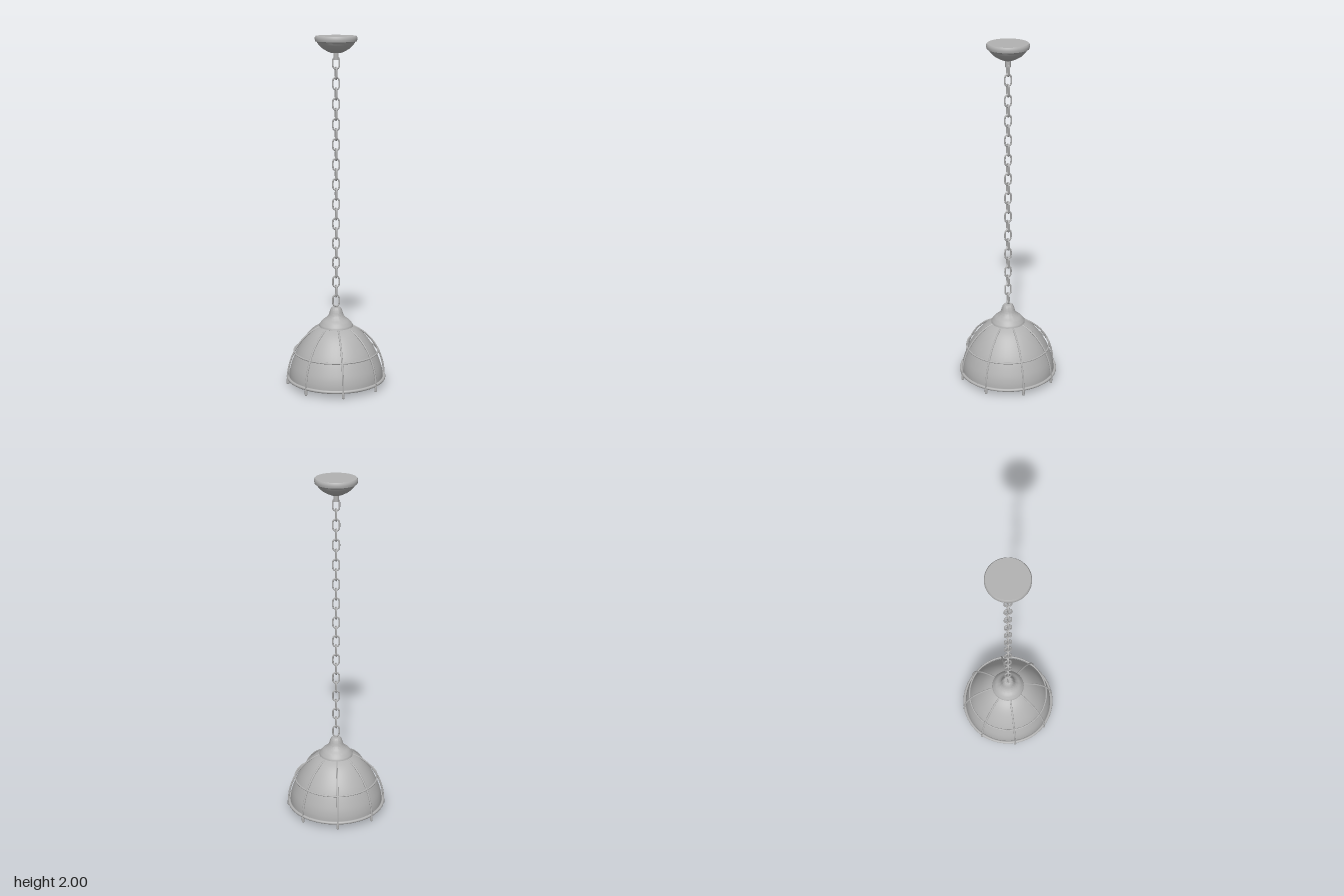
import * as THREE from 'three';
import { toCreasedNormals } from 'three/addons/utils/BufferGeometryUtils.js';

const metal = new THREE.MeshStandardMaterial({ color: 0xb2b2b2, side: THREE.DoubleSide });
metal.name = 'grey metal';

function add(parent, name, geometry) {
  const mesh = new THREE.Mesh(geometry, metal);
  mesh.name = name;
  parent.add(mesh);
  return mesh;
}

// Turned part from [radius, height] pairs, listed from bottom to top
function turned(pairs, crease = 0.7) {
  const points = pairs.map(([r, y]) => new THREE.Vector2(r, y));
  return toCreasedNormals(new THREE.LatheGeometry(points, 48), crease);
}

// Smooth profile through the given pairs
function smooth(pairs, count) {
  return new THREE.SplineCurve(pairs.map(([r, y]) => new THREE.Vector2(r, y)))
    .getPoints(count).map((p) => [p.x, p.y]);
}

function ring(parent, name, radius, tube, y) {
  const mesh = add(parent, name, new THREE.TorusGeometry(radius, tube, 10, 64));
  mesh.rotation.x = Math.PI / 2;
  mesh.position.y = y;
}

// Stadium-shaped chain link lying in the xy plane
function linkGeometry() {
  const points = [];
  const radius = 0.0175, straight = 0.0155;
  for (let i = 0; i < 20; i++) {
    const a = (i + 0.5) / 20 * Math.PI * 2;
    points.push(new THREE.Vector3(Math.cos(a) * radius, Math.sin(a) * radius + Math.sign(Math.sin(a)) * straight, 0));
  }
  return new THREE.TubeGeometry(new THREE.CatmullRomCurve3(points, true), 32, 0.0048, 8, true);
}

export function createModel() {
  const model = new THREE.Group();
  model.name = 'pendantLamp';

  // Ceiling mount with its stem
  add(model, 'canopy', turned([
    [0, 1.905], [0.03, 1.908],
    ...smooth([[0.04, 1.912], [0.07, 1.928], [0.092, 1.947], [0.107, 1.968]], 10),
    [0.115, 1.971], [0.117, 1.98], [0.117, 1.993], [0.112, 2], [0, 2],
  ]));
  const stem = add(model, 'canopyStem', new THREE.CylinderGeometry(0.015, 0.015, 0.04, 20));
  stem.position.y = 1.89;

  // Chain of alternating links
  const chain = new THREE.Group();
  chain.name = 'chain';
  model.add(chain);
  const link = linkGeometry();
  for (let i = 0; i < 25; i++) {
    const mesh = add(chain, 'chainLink', link);
    mesh.position.y = 1.852 - i * 0.05663;
    mesh.rotation.y = (i % 2) * Math.PI / 2;
  }

  // Bell-shaped cap over the shade
  add(model, 'shadeCap', turned([
    [0.09, 0.34], [0.098, 0.343],
    ...smooth([[0.097, 0.35], [0.08, 0.373], [0.056, 0.392], [0.043, 0.41], [0.035, 0.435], [0.029, 0.449]], 18),
    [0.022, 0.455], [0, 0.455],
  ]));

  // Open dome
  add(model, 'shade', turned([
    ...smooth([[0.272, 0.035], [0.269, 0.075], [0.256, 0.125], [0.222, 0.205], [0.175, 0.275], [0.13, 0.32], [0.08, 0.348]], 28),
    [0, 0.352],
  ]));

  // Guard cage: rings, eight ribs and their end pegs
  const cage = new THREE.Group();
  cage.name = 'guardCage';
  model.add(cage);
  ring(cage, 'lowerRing', 0.279, 0.009, 0.04);
  ring(cage, 'middleRing', 0.243, 0.005, 0.195);

  const ribPoints = [];
  for (let i = 0; i <= 10; i++) {
    const a = i / 10 * 1.28;
    ribPoints.push(new THREE.Vector3(0.284 * Math.cos(a), 0.025 + 0.333 * Math.sin(a), 0));
  }
  const rib = new THREE.TubeGeometry(new THREE.CatmullRomCurve3(ribPoints), 28, 0.0052, 8);
  const peg = new THREE.CapsuleGeometry(0.008, 0.022, 4, 12);
  for (let i = 0; i < 8; i++) {
    const spoke = new THREE.Group();
    spoke.name = 'cageSpoke';
    spoke.rotation.y = i * Math.PI / 4;
    cage.add(spoke);
    add(spoke, 'rib', rib);
    add(spoke, 'peg', peg).position.set(0.282, 0.019, 0);
  }
  return model;
}
